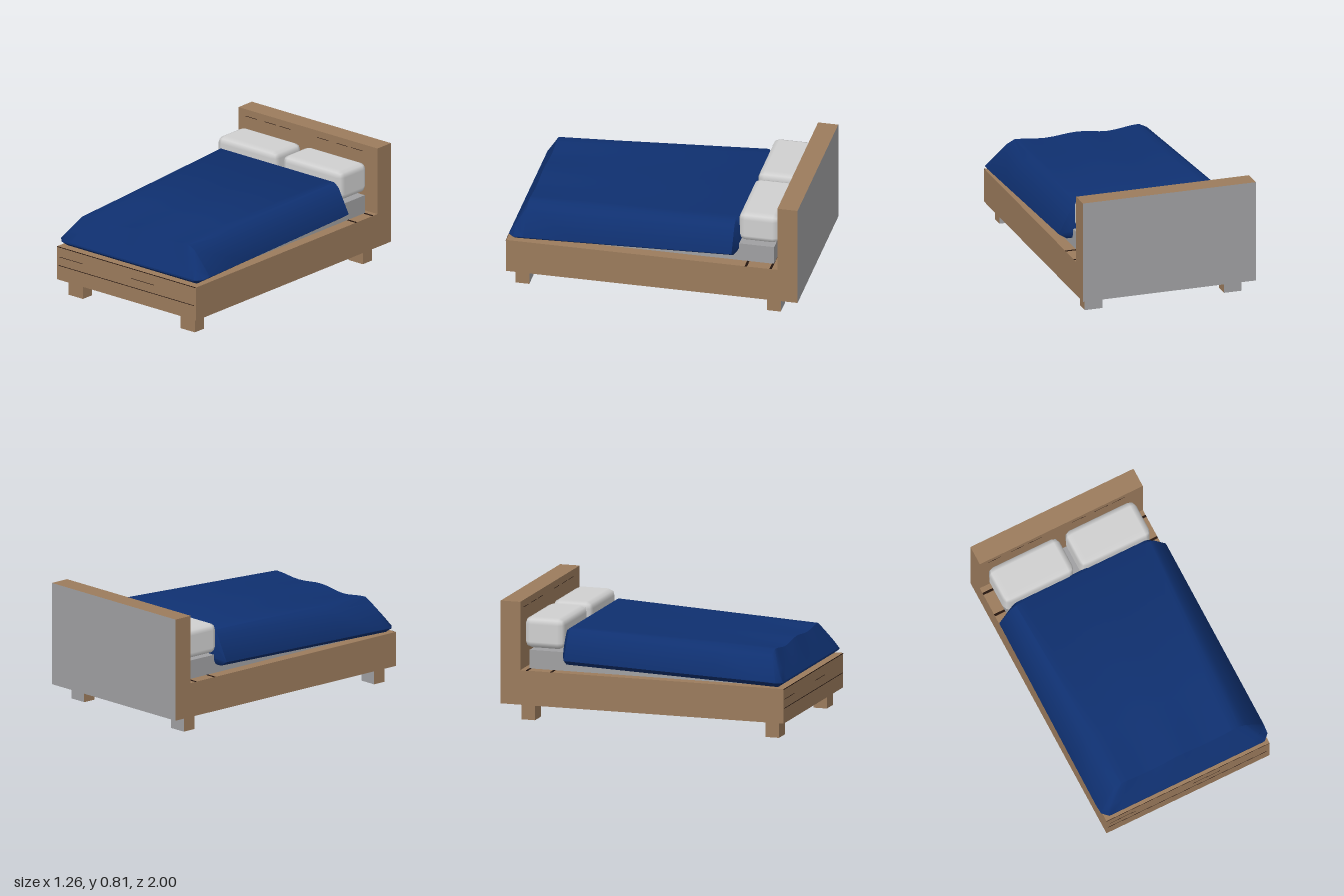
import * as THREE from 'three';
import { toCreasedNormals } from 'three/addons/utils/BufferGeometryUtils.js';
import { RoundedBoxGeometry } from 'three/addons/geometries/RoundedBoxGeometry.js';

const material = (name, color) => {
  const m = new THREE.MeshStandardMaterial({ color });
  m.name = name;
  return m;
};

const lerp = THREE.MathUtils.lerp;

// Closed duvet cross-section: wavy top, sloping shoulders, narrow underside
function section({ z, ty, tw, rw, ry, bw, by, wave = 0 }) {
  const pts = [];
  const n = 16;
  for (let i = 0; i <= n; i++) {
    const t = i / n;
    const dip = wave * Math.sin(Math.PI * 2 * t) ** 2 * (t < 0.5 ? 1 : 0.75);
    pts.push([lerp(-tw, tw, t), ty - dip, z]);
  }
  const sx = lerp(tw, rw, 0.3), sy = lerp(ty, ry, 0.15);
  const side = [[sx, sy], [rw, ry + 0.005], [rw, ry], [bw, by]];
  side.forEach(([x, y]) => pts.push([x, y, z]));
  side.slice().reverse().forEach(([x, y]) => pts.push([-x, y, z]));
  return pts;
}

// Skin a row of equal cross-sections and cap both ends
function loft(rings) {
  const n = rings[0].length, last = (rings.length - 1) * n, index = [];
  for (let i = 0; i < rings.length - 1; i++) {
    for (let j = 0; j < n; j++) {
      const k = (j + 1) % n;
      const a = i * n + j, b = i * n + k, c = b + n, d = a + n;
      index.push(a, d, b, b, d, c);
    }
  }
  for (let k = 1; k < n - 1; k++) {
    index.push(0, k, k + 1, last, last + k + 1, last + k);
  }
  const geo = new THREE.BufferGeometry();
  geo.setAttribute('position', new THREE.Float32BufferAttribute(rings.flat(2), 3));
  geo.setIndex(index);
  return toCreasedNormals(geo, 0.75);
}

export function createModel() {
  const group = new THREE.Group();
  group.name = 'bed';

  const wood = material('wood', 0x9b7b5c);
  const grain = material('darkGrain', 0x24150f);
  const grey = material('grey', 0xa0a0a2);
  const white = material('pillowWhite', 0xd0d0d0);
  const blue = material('duvetBlue', 0x0f3070);

  // Wood with a plain grey back and underside
  const backed = [wood, wood, wood, grey, wood, grey];

  const add = (name, geo, mat, x = 0, y = 0, z = 0) => {
    const mesh = new THREE.Mesh(geo, mat);
    mesh.name = name;
    mesh.position.set(x, y, z);
    group.add(mesh);
    return mesh;
  };
  // Box given by its limits on each axis
  const box = (name, mat, [x0, x1], [y0, y1], [z0, z1]) =>
    add(name, new THREE.BoxGeometry(x1 - x0, y1 - y0, z1 - z0), mat,
      (x0 + x1) / 2, (y0 + y1) / 2, (z0 + z1) / 2);

  // Frame and headboard
  box('frame', backed, [-0.612, 0.612], [0.112, 0.348], [-1, 1]);
  box('headboard', backed, [-0.612, 0.612], [0.348, 0.815], [-1, -0.862]);

  // Legs
  for (const s of [-1, 1]) {
    for (const [name, z] of [['frontLeg', 0.9], ['backLeg', -0.825]]) {
      add(name, new THREE.BoxGeometry(0.125, 0.112, 0.095), backed, s * 0.493, 0.056, z);
    }
  }

  // Grain lines on the front panel and across the top of the frame
  box('frontGroove', grain, [-0.6, 0.592], [0.212, 0.216], [0.999, 1.001]);
  box('frontTopGroove', grain, [-0.612, 0.612], [0.343, 0.348], [0.999, 1.001]);
  for (const x of [-0.59, 0.04]) {
    box('frontGrain', grain, [x, x + 0.2], [0.274, 0.277], [0.999, 1.001]);
  }
  for (const z of [-0.815, -0.645]) {
    box('frameTopGroove', grain, [-0.612, 0.612], [0.347, 0.349], [z - 0.008, z + 0.008]);
  }
  // Grain lines on the headboard
  for (const x of [-0.5, -0.33, -0.2, 0.13, 0.3, 0.43]) {
    box('headboardGrain', grain, [x - 0.05, x + 0.05], [0.765, 0.768], [-0.863, -0.861]);
  }

  // Mattress
  box('mattress', grey, [-0.535, 0.535], [0.348, 0.475], [-0.822, 0.88]);

  // Pillows
  for (const x of [-0.302, 0.272]) {
    add('pillow', new RoundedBoxGeometry(0.526, 0.21, 0.28, 1, 0.045), white, x, 0.596, -0.714);
  }

  // Duvet, sloping down from the pillows and folding over the foot
  add('duvet', loft([
    { z: -0.582, ty: 0.61, tw: 0.48, rw: 0.55, ry: 0.45, bw: 0.5, by: 0.42 },
    { z: -0.55, ty: 0.635, tw: 0.5, rw: 0.625, ry: 0.435, bw: 0.57, by: 0.4 },
    { z: 0.5, ty: 0.595, tw: 0.456, rw: 0.629, ry: 0.402, bw: 0.57, by: 0.365 },
    { z: 0.88, ty: 0.58, tw: 0.44, rw: 0.63, ry: 0.39, bw: 0.57, by: 0.352, wave: 0.022 },
    { z: 0.945, ty: 0.46, tw: 0.53, rw: 0.625, ry: 0.385, bw: 0.57, by: 0.35 },
    { z: 0.985, ty: 0.39, tw: 0.575, rw: 0.585, ry: 0.383, bw: 0.57, by: 0.378 },
  ].map(section)), blue);

  return group;
}
